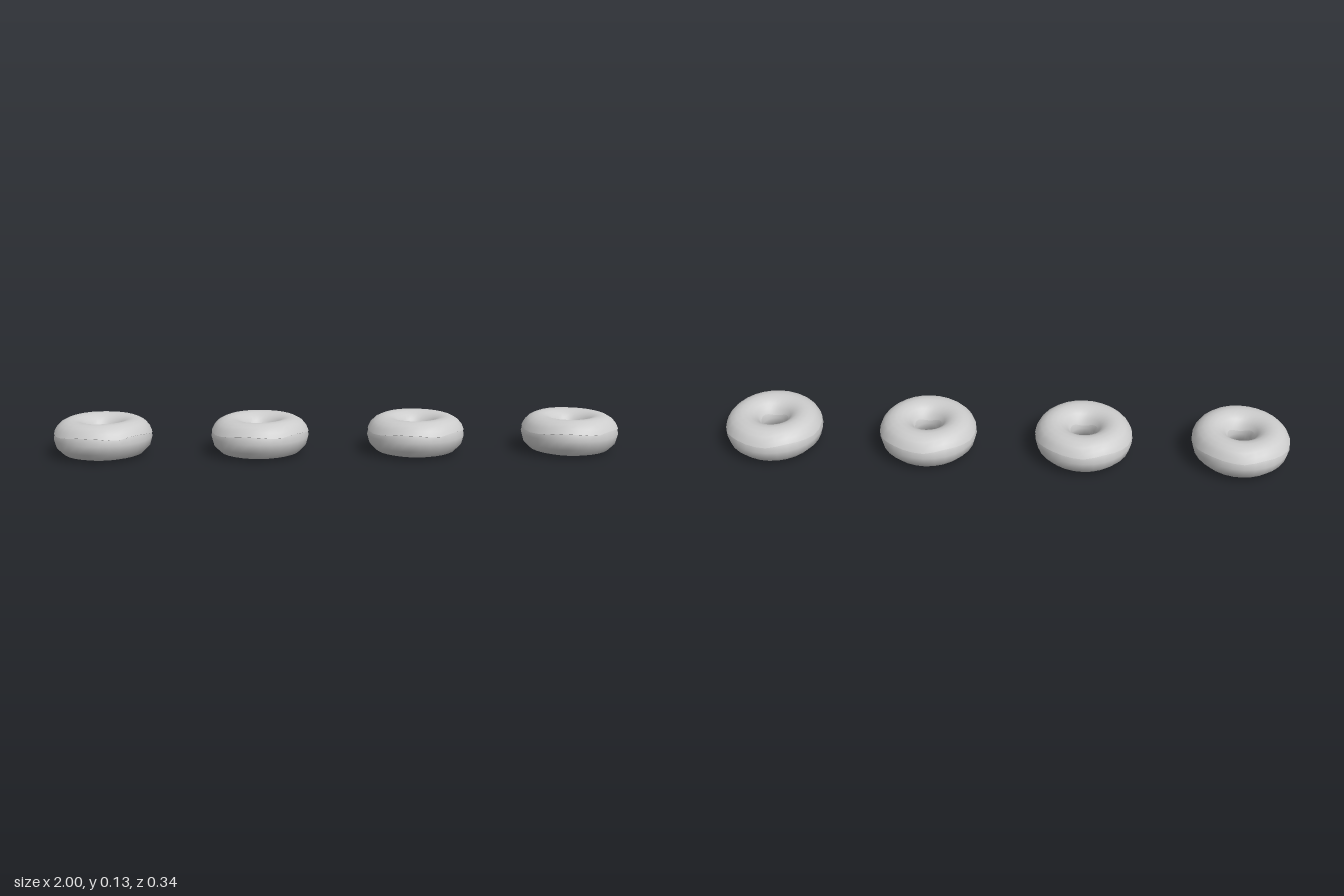
import * as THREE from 'three';

const RING = 0.109, TUBE = 0.063, SIDES = 28;

// Height of the icing's outer rim around the ring, from +x towards +z
const rimHeights = [0.075, 0.084, 0.09, 0.081, 0.088, 0.09, 0.081, 0.078, 0.084,
  0.079, 0.086, 0.091, 0.083, 0.085, 0.085, 0.074];

function rimHeight(turn) {
  const n = rimHeights.length, f = turn * n, i = Math.floor(f) % n;
  return THREE.MathUtils.lerp(rimHeights[i], rimHeights[(i + 1) % n], f - Math.floor(f));
}

// Thin wavy shell over the top of the ring, with a lip closing each edge
function icingGeometry() {
  const positions = [], index = [], steps = 8, rows = steps + 5;
  for (let i = 0; i < SIDES; i++) {
    const turn = i / SIDES, a = turn * Math.PI * 2;
    const outer = Math.asin((rimHeight(turn) - TUBE) / TUBE);
    const inner = Math.PI - 0.3 - 0.1 * Math.sin(3 * a);
    const thick = 0.0018 + 0.0008 * Math.sin(2 * a - 0.6);
    const put = (t, r) => {
      const d = RING + Math.cos(t) * r;
      positions.push(Math.cos(a) * d, TUBE + Math.sin(t) * r, Math.sin(a) * d);
    };
    // rim rows are doubled so the edges stay crisp
    put(outer, TUBE - 0.003);
    put(outer, TUBE + thick);
    for (let j = 0; j <= steps; j++) {
      put(THREE.MathUtils.lerp(outer, inner, j / steps), TUBE + thick);
    }
    put(inner, TUBE + thick);
    put(inner, TUBE - 0.003);
    for (let j = 0; j < rows - 1; j++) {
      if (j === 1 || j === rows - 3) continue;
      const p = i * rows + j, q = ((i + 1) % SIDES) * rows + j;
      index.push(p, p + 1, q, q, p + 1, q + 1);
    }
  }
  const geometry = new THREE.BufferGeometry();
  geometry.setAttribute('position', new THREE.Float32BufferAttribute(positions, 3));
  geometry.setIndex(index);
  geometry.computeVertexNormals();
  return geometry;
}

export function createModel() {
  const model = new THREE.Group();
  model.name = 'donutRow';
  const grey = new THREE.MeshStandardMaterial({ color: 0xcccccc });
  grey.name = 'plain grey';

  const doughGeometry = new THREE.TorusGeometry(RING, TUBE, 12, SIDES)
    .rotateX(-Math.PI / 2).translate(0, TUBE, 0);
  const icing = icingGeometry();

  // Four equal donuts in a row
  for (let k = 0; k < 4; k++) {
    const donut = new THREE.Group();
    donut.name = `donut${k + 1}`;
    const dough = new THREE.Mesh(doughGeometry, grey);
    dough.name = 'dough';
    const top = new THREE.Mesh(icing, grey);
    top.name = 'icing';
    donut.add(dough, top);
    donut.position.x = (k - 1.5) * 0.551;
    model.add(donut);
  }
  return model;
}
